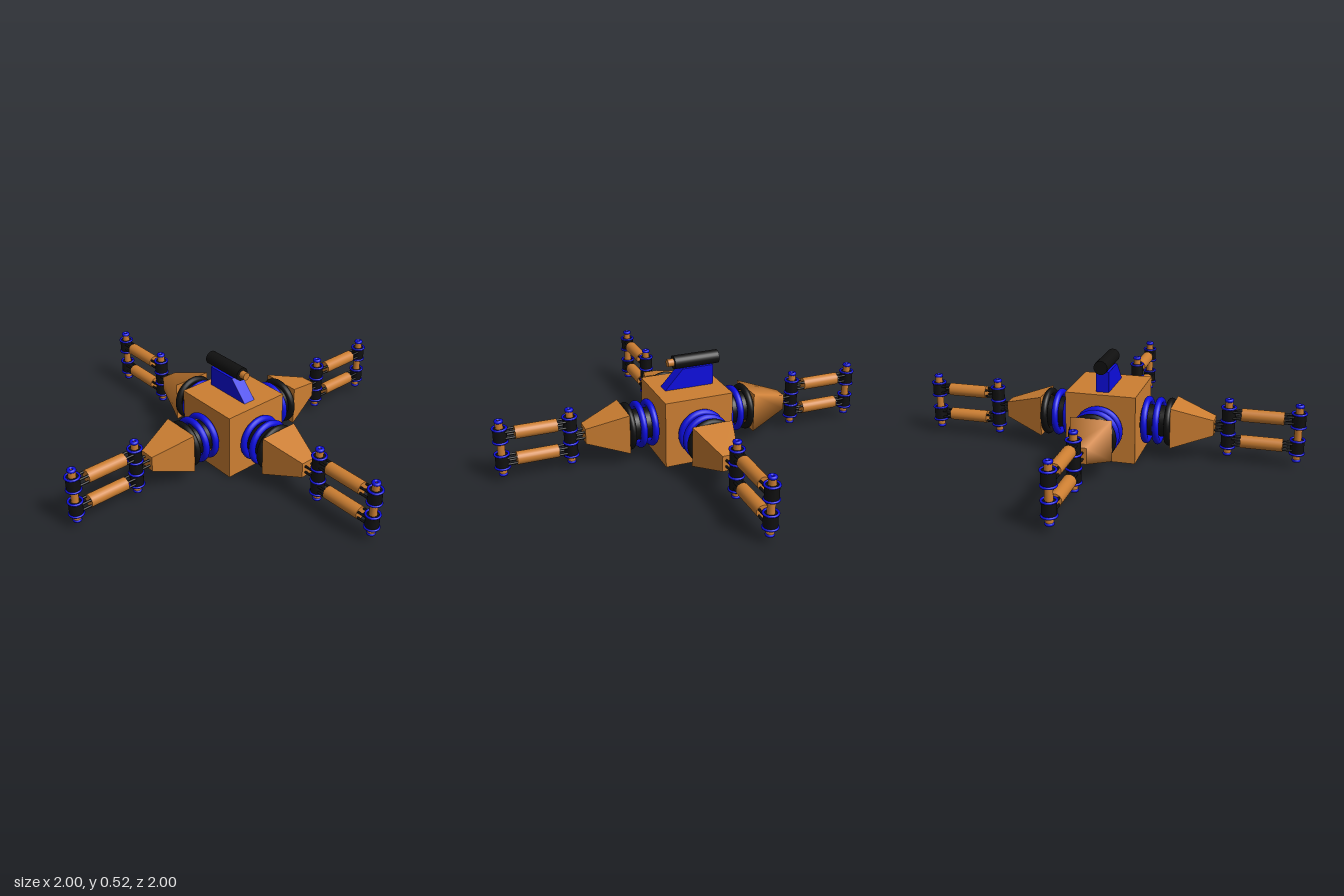
import * as THREE from 'three';

const orange = new THREE.MeshStandardMaterial({ color: 0xcd7f32 });
orange.name = 'bronze orange';
const blue = new THREE.MeshStandardMaterial({ color: 0x0d0de0 });
blue.name = 'bright blue';
const black = new THREE.MeshStandardMaterial({ color: 0x101010 });
black.name = 'black';

const MID = 0.175; // height of the arm axis

function add(parent, name, geometry, material, x = 0, y = 0, z = 0) {
  const mesh = new THREE.Mesh(geometry, material);
  mesh.name = name;
  mesh.position.set(x, y, z);
  parent.add(mesh);
  return mesh;
}

// Cylinder lying along x, from x0 to x1
function rod(parent, name, material, r, x0, x1, y = 0, z = 0, sides = 24) {
  const g = new THREE.CylinderGeometry(r, r, x1 - x0, sides).rotateZ(Math.PI / 2);
  return add(parent, name, g, material, (x0 + x1) / 2, y, z);
}

// Four thin cables running along x
function cables(parent, x0, x1, y) {
  for (const dy of [-0.016, 0.016])
    for (const z of [-0.02, 0.02]) rod(parent, 'cable', black, 0.006, x0, x1, y + dy, z, 8);
}

// Upright hinge: black spools, blue flanges, orange pin with ringed ends
function hinge(x, middleMaterial, middleRadius) {
  const g = new THREE.Group();
  g.name = 'hinge';
  g.position.x = x;
  add(g, 'middleSpool', new THREE.CylinderGeometry(middleRadius, middleRadius, 0.07, 20), middleMaterial);
  for (const s of [-1, 1]) {
    add(g, 'spool', new THREE.CylinderGeometry(0.034, 0.034, 0.07, 20), black, 0, s * 0.07);
    for (const y of [0.034, 0.104]) {
      add(g, 'flange', new THREE.TorusGeometry(0.034, 0.006, 8, 24).rotateX(Math.PI / 2), blue, 0, s * y);
    }
    add(g, 'pin', new THREE.CylinderGeometry(0.019, 0.019, 0.04, 16), orange, 0, s * 0.122);
    add(g, 'pinRing', new THREE.TorusGeometry(0.014, 0.009, 8, 16).rotateX(Math.PI / 2), blue, 0, s * 0.141);
  }
  return g;
}

// One arm reaching along +x
function createArm(smooth) {
  const arm = new THREE.Group();
  arm.name = 'arm';

  // Ringed shoulder
  rod(arm, 'shoulderCore', black, 0.08, 0.17, 0.34, 0, 0, 32);
  [[0.205, blue], [0.265, blue], [0.323, black]].forEach(([x, m]) => {
    add(arm, 'shoulderRing', new THREE.TorusGeometry(0.105, 0.0175, 12, 40).rotateY(Math.PI / 2), m, x);
  });

  // Tapered square housing
  const k = Math.SQRT2;
  let taper = new THREE.CylinderGeometry(0.04 * k, 0.105 * k, 0.21, 4)
    .rotateY(Math.PI / 4).rotateZ(-Math.PI / 2);
  if (!smooth) {
    taper = taper.toNonIndexed();
    taper.computeVertexNormals();
  }
  add(arm, 'taperedHousing', taper, orange, 0.445);

  // Twin forearm tubes between two hinges
  cables(arm, 0.54, 0.615, 0);
  for (const y of [-0.07, 0.07]) {
    cables(arm, 0.615, 0.96, y);
    rod(arm, 'forearmTube', orange, 0.033, 0.682, 0.89, y);
  }
  arm.add(hinge(0.617, black, 0.033), hinge(0.96, orange, 0.019));
  return arm;
}

// Wedge mount with a barrel on top of the body
function createTurret() {
  const turret = new THREE.Group();
  turret.name = 'turret';
  const side = new THREE.Shape([[0.13, 0.345], [0.03, 0.455], [-0.135, 0.455], [-0.135, 0.345]]
    .map(([z, y]) => new THREE.Vector2(-z, y)));
  const wedge = new THREE.ExtrudeGeometry(side, { depth: 0.066, bevelEnabled: false })
    .translate(0, 0, -0.033).rotateY(Math.PI / 2);
  add(turret, 'wedgeMount', wedge, blue);
  const barrel = (r, len) => new THREE.CylinderGeometry(r, r, len, 24).rotateX(Math.PI / 2);
  add(turret, 'barrel', barrel(0.035, 0.24), black, 0, 0.485, -0.05);
  add(turret, 'barrelTip', barrel(0.02, 0.05), orange, 0, 0.485, 0.077);
  return turret;
}

export function createModel() {
  const model = new THREE.Group();
  model.name = 'fourArmedRobot';
  add(model, 'body', new THREE.BoxGeometry(0.36, 0.35, 0.36), orange, 0, MID, 0);
  ['leftArm', 'backArm', 'rightArm', 'frontArm'].forEach((name, i) => {
    const arm = createArm(name === 'backArm');
    arm.name = name;
    arm.position.y = MID + 0.002;
    arm.rotation.y = i * Math.PI / 2;
    model.add(arm);
  });
  model.add(createTurret());
  return model;
}
